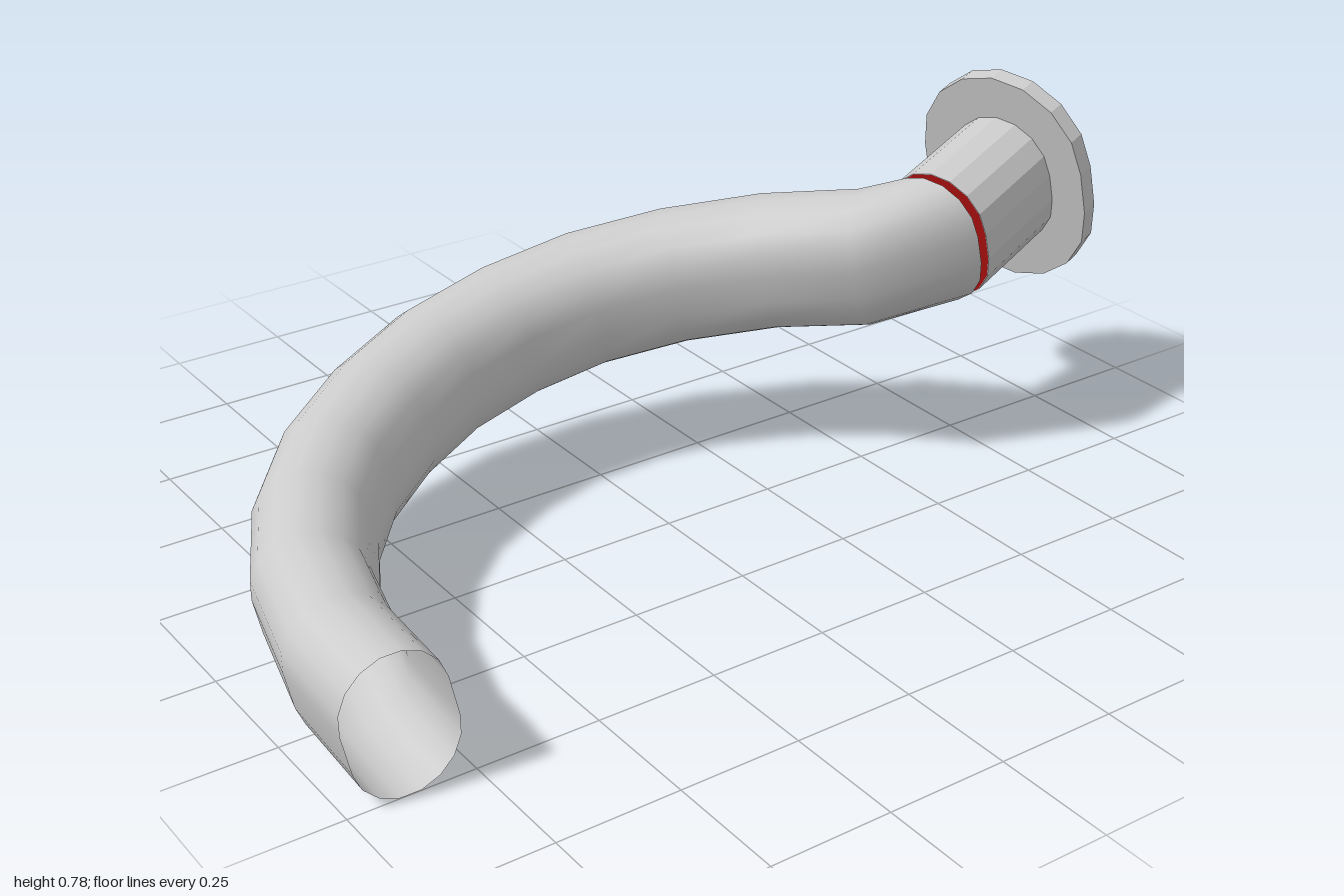
import * as THREE from 'three';

const TILT = 0.219;   // slope of the plane the pipe lies in
const TURN = 0.276;   // heading of the straight outlet
const ARC = 8;        // segments per rounded end of the oval

// Oval outline: two half circles of radius r, centres s above and below the middle
function oval(r, s) {
  const pts = [];
  for (const half of [0, 1]) {
    for (let i = 0; i <= ARC; i++) {
      const a = Math.PI * (half + i / ARC);
      pts.push(new THREE.Vector2(r * Math.cos(a), r * Math.sin(a) + (half ? -s : s)));
    }
  }
  return pts;
}

// Oval ring whose front face lies at z = 0
function ovalRing(outer, inner, depth) {
  const shape = new THREE.Shape(oval(...outer));
  shape.holes.push(new THREE.Path(oval(...inner)));
  const geo = new THREE.ExtrudeGeometry(shape, { depth, bevelEnabled: false });
  return geo.translate(0, 0, -depth);
}

// Smooth open tube: oval sections along a flat path
function sweptPipe(path) {
  const pos = [], index = [], last = path.length - 1, n = 2 * ARC + 2;
  path.forEach((p, i) => {
    const t = path[i === last - 1 ? i : Math.min(i + 1, last)].clone().sub(path[Math.max(i - 1, 0)]).normalize();
    if (i === 0) t.set(0.03, -1).normalize();
    if (i === last) t.set(Math.cos(TURN), -Math.sin(TURN));
    // slightly narrower towards the open end
    const k = Math.min(1, i / 5), r = 0.104 + 0.011 * k, s = 0.146 - r;
    for (const q of oval(r, s)) pos.push(p.x + t.y * q.x, q.y, p.y - t.x * q.x);
    if (i === last) return;
    for (let j = 0; j < n; j++) {
      const a = i * n + j, b = i * n + (j + 1) % n;
      index.push(a, b, a + n, b, b + n, a + n);
    }
  });
  const geo = new THREE.BufferGeometry();
  geo.setAttribute('position', new THREE.Float32BufferAttribute(pos, 3));
  geo.setIndex(index);
  geo.computeVertexNormals();
  return geo;
}

export function createModel() {
  const root = new THREE.Group();
  root.name = 'bentPipe';
  const grey = new THREE.MeshStandardMaterial({ color: 0xcccccc });
  const greyOpen = new THREE.MeshStandardMaterial({ color: 0xcccccc, side: THREE.DoubleSide });
  const red = new THREE.MeshStandardMaterial({ color: 0xb01010 });

  const add = (parent, name, geo, mat) => {
    const mesh = new THREE.Mesh(geo, mat);
    mesh.name = name;
    parent.add(mesh);
  };

  // Everything lies in one tilted plane
  const tilted = new THREE.Group();
  tilted.name = 'tiltedAssembly';
  tilted.position.y = 0.345;
  tilted.rotation.z = TILT;
  root.add(tilted);

  // Curved pipe, path given as x, z seen from above
  const path = [
    [-0.89, 0.5], [-0.88, 0.29], [-0.83, 0.085], [-0.74, -0.085], [-0.625, -0.215],
    [-0.47, -0.317], [-0.305, -0.38], [-0.13, -0.395], [0.045, -0.367], [0.215, -0.29],
    [0.375, -0.17], [0.505, -0.02], [0.635, 0.04],
  ].map(([x, z]) => new THREE.Vector2(x / Math.cos(TILT), z));
  add(tilted, 'curvedPipe', sweptPipe(path), greyOpen);

  // Straight outlet with its flange and red lining
  const outlet = new THREE.Group();
  outlet.name = 'outlet';
  outlet.position.set(0.926 / Math.cos(TILT), 0, -0.04);
  outlet.rotation.y = Math.PI / 2 + TURN;
  tilted.add(outlet);
  const sleeve = [0.117, 0.029], lining = [0.1155, 0.029], bore = [0.079, 0.018];
  add(outlet, 'flange', ovalRing([0.193, 0.046], sleeve, 0.04), grey);
  add(outlet, 'outletSleeve', ovalRing(sleeve, lining, 0.29), grey);
  add(outlet, 'outletLining', ovalRing(lining, bore, 0.29), red);

  return root;
}
